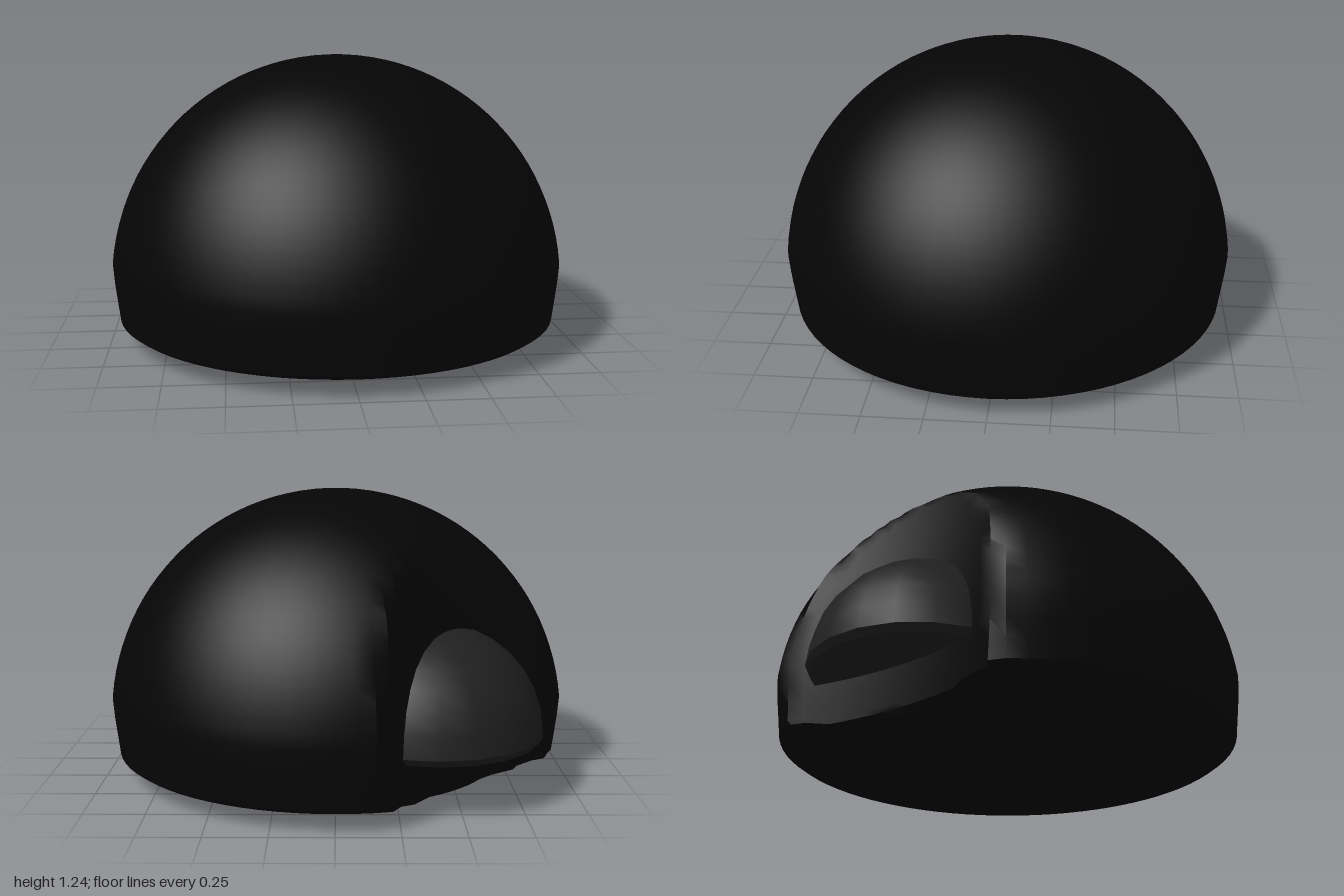
import * as THREE from 'three';
import { toCreasedNormals } from 'three/addons/utils/BufferGeometryUtils.js';

// Quarter-arc profile points from angle a0 up to the pole.
function arc(radius, centerY, a0, steps) {
  const pts = [];
  for (let i = 0; i <= steps; i++) {
    const a = a0 + (Math.PI / 2 - a0) * (i / steps);
    pts.push(new THREE.Vector2(i === steps ? 0 : radius * Math.cos(a), centerY + radius * Math.sin(a)));
  }
  return pts;
}

// Press every vertex beyond the curved wall on the back-right diagonal inwards.
function carveRecess(geometry) {
  const pos = geometry.attributes.position;
  const s = Math.SQRT1_2;
  for (let i = 0; i < pos.count; i++) {
    const x = pos.getX(i), y = pos.getY(i), z = pos.getZ(i);
    const out = -(x + z) * s;
    const side = (x - z) * s;
    const h = Math.max(0, y - 0.235);
    const wall = 0.73 - 0.24 * h * h + 0.3 * side * side;
    if (out > wall) {
      pos.setX(i, x + (out - wall) * s);
      pos.setZ(i, z + (out - wall) * s);
    }
  }
  return geometry;
}

function part(name, geometry, color) {
  const mesh = new THREE.Mesh(
    toCreasedNormals(geometry, 0.5),
    new THREE.MeshStandardMaterial({ color })
  );
  mesh.name = name;
  return mesh;
}

export function createModel() {
  const group = new THREE.Group();
  group.name = 'domeWithSideBump';

  // Main dome: shallow tapered underside, short rim, round top.
  const domeProfile = [
    [0, 0], [0.3, 0], [0.6, 0], [0.72, 0.025], [0.83, 0.047], [0.94, 0.07],
    [0.968, 0.09], [0.978, 0.17], [0.988, 0.25],
  ].map(([r, y]) => new THREE.Vector2(r, y)).concat(arc(1, 0.235, 0.1, 26));
  group.add(part('mainDome', carveRecess(new THREE.LatheGeometry(domeProfile, 80)), 0x050505));

  // Small flat-based dome set into the recess.
  const bumpProfile = [new THREE.Vector2(0, 0), new THREE.Vector2(0.45, 0), ...arc(0.47, 0.015, 0.03, 8)];
  const bump = part('sideBump', new THREE.LatheGeometry(bumpProfile, 20), 0x202020);
  bump.position.set(-0.4, 0.225, -0.4);
  group.add(bump);

  return group;
}
